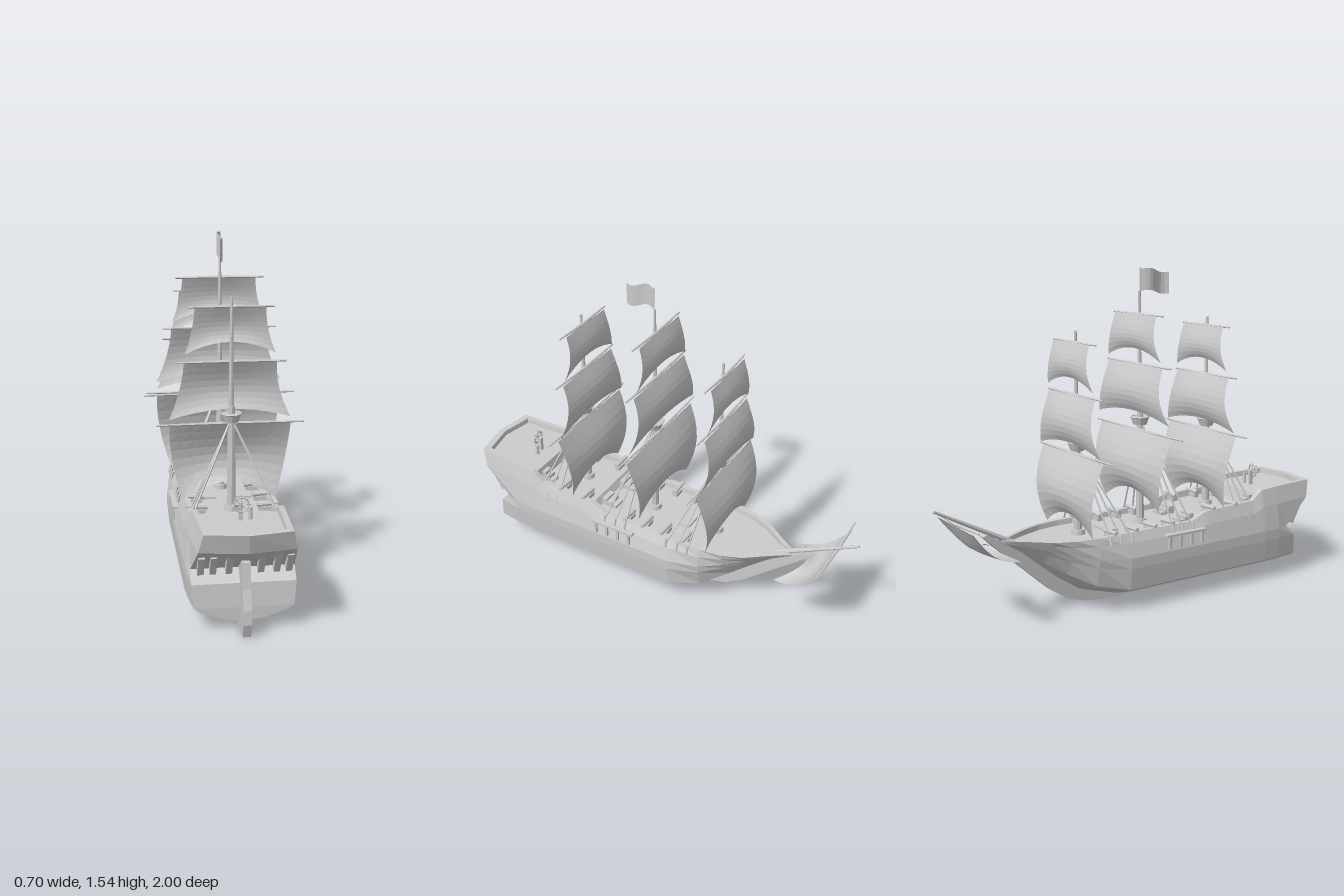
import * as THREE from 'three';

const grey = new THREE.MeshStandardMaterial({ color: 0xcccccc, flatShading: true });
const cloth = new THREE.MeshStandardMaterial({ color: 0xcccccc, flatShading: true, side: THREE.DoubleSide });
const lerp = THREE.MathUtils.lerp;

function add(parent, name, geo, x = 0, y = 0, z = 0, mat = grey) {
  const m = new THREE.Mesh(geo, mat);
  m.name = name;
  m.position.set(x, y, z);
  parent.add(m);
  return m;
}
const box = (p, name, w, h, d, x, y, z) => add(p, name, new THREE.BoxGeometry(w, h, d), x, y, z);

// Tapered rod between two points
function rod(p, name, a, b, r0, r1 = r0, sides = 6) {
  const A = new THREE.Vector3(...a), B = new THREE.Vector3(...b), d = B.clone().sub(A);
  const m = add(p, name, new THREE.CylinderGeometry(r1, r0, d.length(), sides));
  m.position.copy(A).add(B).multiplyScalar(0.5);
  m.quaternion.setFromUnitVectors(new THREE.Vector3(0, 1, 0), d.normalize());
  return m;
}

// Hull lofted from stern to bow: z, half width, bottom, rail height, deck height, bow sharpness
const STATIONS = [
  [1.0, 0.215, 0.035, 0.46, 0.435, 0], [0.74, 0.23, 0.035, 0.455, 0.43, 0],
  [0.65, 0.235, 0.035, 0.45, 0.425, 0], [0.635, 0.235, 0.035, 0.44, 0.37, 0],
  [0.59, 0.235, 0.035, 0.405, 0.37, 0], [0.31, 0.235, 0.035, 0.395, 0.37, 0],
  [0.29, 0.235, 0.035, 0.39, 0.335, 0], [0.22, 0.235, 0.035, 0.36, 0.335, 0],
  [-0.15, 0.235, 0.035, 0.36, 0.335, 0], [-0.3, 0.225, 0.075, 0.36, 0.335, 0.3],
  [-0.41, 0.19, 0.145, 0.36, 0.335, 0.7], [-0.5, 0.145, 0.215, 0.36, 0.335, 1],
  [-0.6, 0.075, 0.3, 0.365, 0.345, 1], [-0.66, 0.035, 0.335, 0.367, 0.36, 1],
  [-0.71, 0.003, 0.365, 0.37, 0.369, 1]];
const MID = [0, 0.43, 0.85, 0.96, 1, 1, 0.92, 0.83];
const BOW = [0, 0.12, 0.26, 0.34, 0.64, 0.77, 0.91, 1];
const RISE = [0, 0.05, 0.15, 0.2, 0.51, 0.66];
const STERN_Z = [0.86, 0.86, 0.86, 0.86, 0.85, 0.8, 0.945, 0.97, 0.94, 0.938, 0.938];

function halfSection([z, w, yb, yt, deck, bow], first) {
  const pts = [];
  for (let i = 0; i < 8; i++) {
    let y = i < 6 ? yb + RISE[i] * (Math.min(yt, 0.36) - yb) : yt;
    if (i === 6) y = lerp(pts[5][1], yt, 0.6);
    pts.push([w * lerp(MID[i], BOW[i], bow), y, z]);
  }
  const x = pts[7][0], inner = Math.max(x - 0.024, x * 0.4);
  pts.push([inner, yt, z], [inner * 0.98, deck, z], [0, deck, z]);
  if (first) pts.forEach((p, i) => { p[2] = STERN_Z[i]; });
  return pts;
}

function hullGeometry() {
  const pos = [], idx = [], n = 20;
  const mirror = ([x, y, z]) => [-x, y, z];
  const halves = STATIONS.map((s, i) => halfSection(s, i === 0));
  halves.forEach(h => pos.push(...h.flat(), ...h.slice(1, 10).reverse().map(mirror).flat()));
  for (let s = 0; s < halves.length - 1; s++) for (let j = 0; j < n; j++) {
    const a = s * n + j, a1 = s * n + (j + 1) % n;
    idx.push(a, a + n, a1, a1, a + n, a1 + n);
  }
  // Stern face, bowed outward toward the top
  const c = pos.length / 3;
  halves[0].forEach(([, y, z], i) => pos.push(0, y, z + (i >= 6 ? 0.03 : 0)));
  for (let i = 0; i < 10; i++) {
    const L = (n - i) % n, L1 = n - i - 1;
    idx.push(i, i + 1, c + i + 1, i, c + i + 1, c + i);
    idx.push(c + i, c + i + 1, L1, c + i, L1, L);
  }
  const g = new THREE.BufferGeometry();
  g.setAttribute('position', new THREE.Float32BufferAttribute(pos, 3));
  g.setIndex(idx);
  g.computeVertexNormals();
  return g;
}

// Keel, stem and rudder as one flat plate, outline given as z, y
function keelGeometry() {
  const outline = [[0.93, 0], [0.95, 0.06], [0.945, 0.12], [0.92, 0.2], [0.905, 0.31], [0.85, 0.31], [0.8, 0.25],
    [0.8, 0.06], [-0.13, 0.06], [-0.3, 0.1], [-0.5, 0.24], [-0.66, 0.345], [-0.76, 0.41], [-0.78, 0.4],
    [-0.72, 0.34], [-0.6, 0.235], [-0.45, 0.1], [-0.36, 0.04], [-0.27, 0.012], [-0.15, 0]];
  const shape = new THREE.Shape(outline.map(([z, y]) => new THREE.Vector2(-z, y)));
  return new THREE.ExtrudeGeometry(shape, { depth: 0.034, bevelEnabled: false })
    .rotateY(Math.PI / 2).translate(-0.017, 0, 0);
}

// Billowing sail hanging from its yard at the origin
function sail(p, top, bottom, height, belly, arch) {
  const g = new THREE.PlaneGeometry(2, 1, 10, 8), a = g.attributes.position;
  for (let i = 0; i < a.count; i++) {
    const u = a.getX(i), v = 0.5 - a.getY(i);
    a.setXYZ(i, u * lerp(top, bottom, v * v), -height * v + arch * (1 - u * u) * v * v,
      -0.008 - belly * Math.sin(v * 2.75) * (1 - 0.25 * u * u));
  }
  return add(p, 'sail', g, 0, 0, 0, cloth);
}

function yardWithSail(p, y, z, yard, top, bottom, height, belly, arch) {
  const g = new THREE.Group();
  g.name = 'yardAndSail';
  g.position.set(0, y, z);
  for (const s of [-1, 1]) rod(g, 'yard', [0, 0, 0], [s * yard, 0, 0.008], 0.008, 0.004);
  sail(g, top, bottom, height, belly, arch);
  p.add(g);
  return g;
}

function mast(p, name, z, deck, topY, height, yards, scale) {
  const g = new THREE.Group();
  g.name = name;
  p.add(g);
  rod(g, 'lowerMast', [0, deck - 0.02, z], [0, topY + 0.05, z], 0.02, 0.015, 8);
  rod(g, 'upperMast', [0, topY, z - 0.004], [0, height, z - 0.004], 0.012, 0.006, 8);
  add(g, 'mastCollar', new THREE.CylinderGeometry(0.03, 0.034, 0.025, 12), 0, deck + 0.01, z);
  add(g, 'fightingTop', new THREE.CylinderGeometry(0.044, 0.032, 0.035, 12), 0, topY, z);
  add(g, 'fightingTopRim', new THREE.TorusGeometry(0.043, 0.004, 5, 12).rotateX(Math.PI / 2), 0, topY + 0.018, z);
  const [y0, y1, y2] = yards, zy = z - 0.02;
  yardWithSail(g, y0, zy, 0.35 * scale, 0.29 * scale, 0.225 * scale, 0.355, 0.065, 0.08);
  yardWithSail(g, y1, zy, 0.26 * scale, 0.22 * scale, 0.29 * scale, 0.255, 0.045, 0.04);
  yardWithSail(g, y2, zy, 0.2 * scale, 0.168 * scale, 0.215 * scale, 0.205, 0.03, 0.05);
  // Shrouds with their channels and chain plates
  for (const s of [-1, 1]) {
    for (const dz of [0.045, 0.1, 0.16]) {
      rod(g, 'shroud', [s * 0.012, topY - 0.03, z + 0.01], [s * 0.212, 0.335, z + dz], 0.005, 0.004, 5);
      rod(g, 'deadeye', [s * 0.206, 0.36, z + dz], [s * 0.216, 0.32, z + dz], 0.007);
    }
    if (name === 'mainMast') {
      box(g, 'channel', 0.035, 0.01, 0.23, s * 0.223, 0.322, z + 0.105);
      for (let i = 0; i < 4; i++) box(g, 'chainPlate', 0.01, 0.06, 0.014, s * 0.236, 0.291, z + 0.01 + i * 0.062);
    }
  }
}

function cannon(p, s, z, deck) {
  const g = new THREE.Group();
  g.name = 'cannon';
  box(g, 'carriage', 0.05, 0.02, 0.026, s * 0.14, deck + 0.012, z);
  rod(g, 'barrel', [s * 0.108, deck + 0.03, z], [s * 0.2, deck + 0.034, z], 0.013, 0.009, 8);
  p.add(g);
}

export function createModel() {
  const ship = new THREE.Group();
  ship.name = 'sailingShip';
  add(ship, 'hull', hullGeometry());
  add(ship, 'keelAndRudder', keelGeometry());

  mast(ship, 'foreMast', -0.29, 0.335, 0.745, 1.27, [0.715, 0.985, 1.22], 0.91);
  mast(ship, 'mainMast', 0.055, 0.335, 0.83, 1.435, [0.79, 1.1, 1.33], 1);
  mast(ship, 'mizzenMast', 0.45, 0.37, 0.785, 1.3, [0.755, 1.025, 1.26], 0.91);

  // Bowsprit with its own sail slung underneath
  rod(ship, 'bowsprit', [0, 0.335, -0.6], [0, 0.545, -1], 0.014, 0.006, 8);
  const sprit = yardWithSail(ship, 0.475, -0.9, 0.22, 0.185, 0.145, 0.29, 0.06, 0.11);
  sprit.rotation.x = -1.03;

  // Waving flag
  rod(ship, 'flagPole', [0, 1.42, 0.055], [0, 1.54, 0.055], 0.003);
  const flag = new THREE.PlaneGeometry(0.145, 0.1, 8, 3).rotateY(-Math.PI / 2).translate(0, 1.485, 0.1325);
  const fp = flag.attributes.position;
  for (let i = 0; i < fp.count; i++) {
    const t = (fp.getZ(i) - 0.06) / 0.145;
    fp.setX(i, -0.022 * t - 0.014 * Math.sin(t * 6));
    fp.setY(i, fp.getY(i) - 0.014 * t + 0.007 * Math.sin(t * 6));
  }
  add(ship, 'flag', flag, 0, 0, 0, cloth);

  // Guns, ladders and stern brackets, mirrored
  for (const s of [-1, 1]) {
    for (const z of [-0.21, -0.095, 0.01, 0.11]) cannon(ship, s, z, 0.335);
    for (const z of [0.35, 0.485]) cannon(ship, s, z, 0.37);
    for (let i = 0; i < 3; i++) {
      box(ship, 'quarterdeckStep', 0.07, 0.012 * (3 - i), 0.026, s * 0.08, 0.335 + 0.006 * (3 - i), 0.225 + (2 - i) * 0.026);
      box(ship, 'poopStep', 0.045, 0.016 * (3 - i), 0.022, s * 0.115, 0.37 + 0.008 * (3 - i), 0.58 + (2 - i) * 0.022);
    }
    for (const x of [0.065, 0.13, 0.18]) {
      const b = box(ship, 'sternBracket', 0.026, 0.1, 0.03, s * x, 0.3, 0.875);
      b.rotation.x = 0.5;
    }
  }
  box(ship, 'deckGrating', 0.12, 0.01, 0.06, 0, 0.34, -0.14);

  // Ship's wheel and binnacle
  const wheel = new THREE.Group();
  wheel.name = 'wheel';
  wheel.position.set(0, 0.5, 0.755);
  add(wheel, 'wheelRim', new THREE.TorusGeometry(0.03, 0.004, 5, 16));
  for (let i = 0; i < 4; i++) {
    const a = i * Math.PI / 4, c = Math.cos(a) * 0.042, d = Math.sin(a) * 0.042;
    rod(wheel, 'spoke', [-c, -d, 0], [c, d, 0], 0.0025, 0.0025, 5);
  }
  ship.add(wheel);
  box(ship, 'wheelPost', 0.016, 0.075, 0.016, 0, 0.465, 0.74);
  add(ship, 'binnacle', new THREE.CylinderGeometry(0.008, 0.01, 0.055, 8), 0.04, 0.455, 0.735);
  return ship;
}
